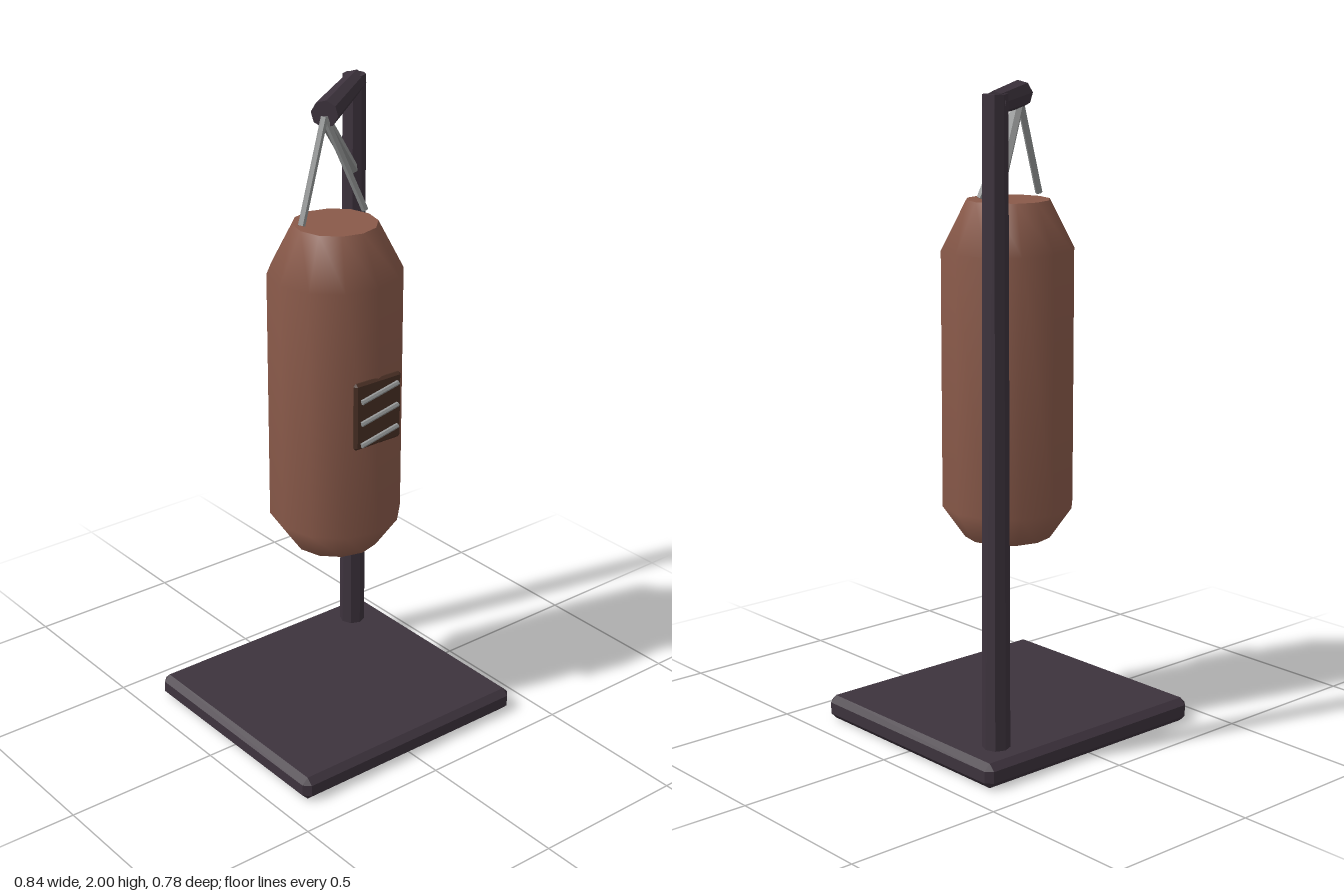
import * as THREE from 'three';
import { ConvexGeometry } from 'three/addons/geometries/ConvexGeometry.js';

function material(name, color, flatShading = true) {
  const m = new THREE.MeshStandardMaterial({ color, flatShading });
  m.name = name;
  return m;
}

function mesh(name, geometry, mat, parent) {
  const m = new THREE.Mesh(geometry, mat);
  m.name = name;
  parent.add(m);
  return m;
}

// Box with every edge cut at 45 degrees, centred on the origin
function chamferBox(w, h, d, c) {
  const points = [];
  for (const sx of [-1, 1]) for (const sy of [-1, 1]) for (const sz of [-1, 1]) {
    for (let axis = 0; axis < 3; axis++) {
      const p = [w / 2, h / 2, d / 2].map((v, i) => (i === axis ? v : v - c));
      points.push(new THREE.Vector3(p[0] * sx, p[1] * sy, p[2] * sz));
    }
  }
  return new ConvexGeometry(points);
}

// Faceted bar running from a to b, with its own radius at each end
function bar(name, a, b, ra, rb, sides, mat, parent) {
  const from = new THREE.Vector3(...a), to = new THREE.Vector3(...b);
  const dir = to.clone().sub(from);
  const m = mesh(name, new THREE.CylinderGeometry(rb, ra, dir.length(), sides), mat, parent);
  m.position.copy(from).add(to).multiplyScalar(0.5);
  m.quaternion.setFromUnitVectors(new THREE.Vector3(0, 1, 0), dir.normalize());
  return m;
}

export function createModel() {
  const model = new THREE.Group();
  model.name = 'punchingBagStand';

  const frame = material('darkFrame', 0x3d333d);
  const leather = material('brownLeather', 0x8a5a4a, false);
  const patchLeather = material('darkPatch', 0x4a3025);
  const metal = material('greyMetal', 0x939595);

  // Stand: base slab, upright post and horizontal arm
  const stand = new THREE.Group();
  stand.name = 'stand';
  model.add(stand);
  mesh('base', chamferBox(0.84, 0.076, 0.78, 0.02), frame, stand).position.y = 0.038;
  bar('post', [0.3, 0.06, -0.285], [0.3, 1.985, -0.285], 0.042, 0.036, 8, frame, stand);
  bar('arm', [0, 1.963, -0.05], [0.312, 1.96, -0.294], 0.041, 0.034, 8, frame, stand);
  bar('brace', [0.01, 1.94, -0.058], [0.29, 1.685, -0.275], 0.018, 0.018, 6, metal, stand);

  // Straps spreading from the arm tip to the bag
  for (const s of [-1, 1]) {
    bar(s > 0 ? 'leftStrap' : 'rightStrap',
      [0, 1.955, -0.05], [s * 0.118, 1.662, -0.008], 0.011, 0.011, 6, metal, model);
  }

  // Bag: twelve-sided smooth body with flat caps
  const bag = new THREE.Group();
  bag.name = 'bag';
  model.add(bag);
  const profile = [[0.135, 0.61], [0.205, 0.71], [0.205, 1.5], [0.128, 1.65]]
    .map(([r, y]) => new THREE.Vector2(r, y));
  mesh('bagBody', new THREE.LatheGeometry(profile, 12), leather, bag);
  const top = mesh('bagTop', new THREE.CircleGeometry(0.128, 12), leather, bag);
  top.position.y = 1.65;
  top.rotation.x = -Math.PI / 2;
  const bottom = mesh('bagBottom', new THREE.CircleGeometry(0.135, 12), leather, bag);
  bottom.position.y = 0.61;
  bottom.rotation.x = Math.PI / 2;

  // Repair patch with three slanted stitches
  const patch = new THREE.Group();
  patch.name = 'patch';
  model.add(patch);
  mesh('patchPlate', chamferBox(0.176, 0.214, 0.02, 0.008), patchLeather, patch)
    .position.set(-0.002, 1.117, 0.2);
  for (const y of [1.18, 1.11, 1.04]) {
    bar('stitch', [-0.07, y - 0.014, 0.214], [0.068, y + 0.014, 0.214], 0.008, 0.008, 6, metal, patch);
  }

  return model;
}
